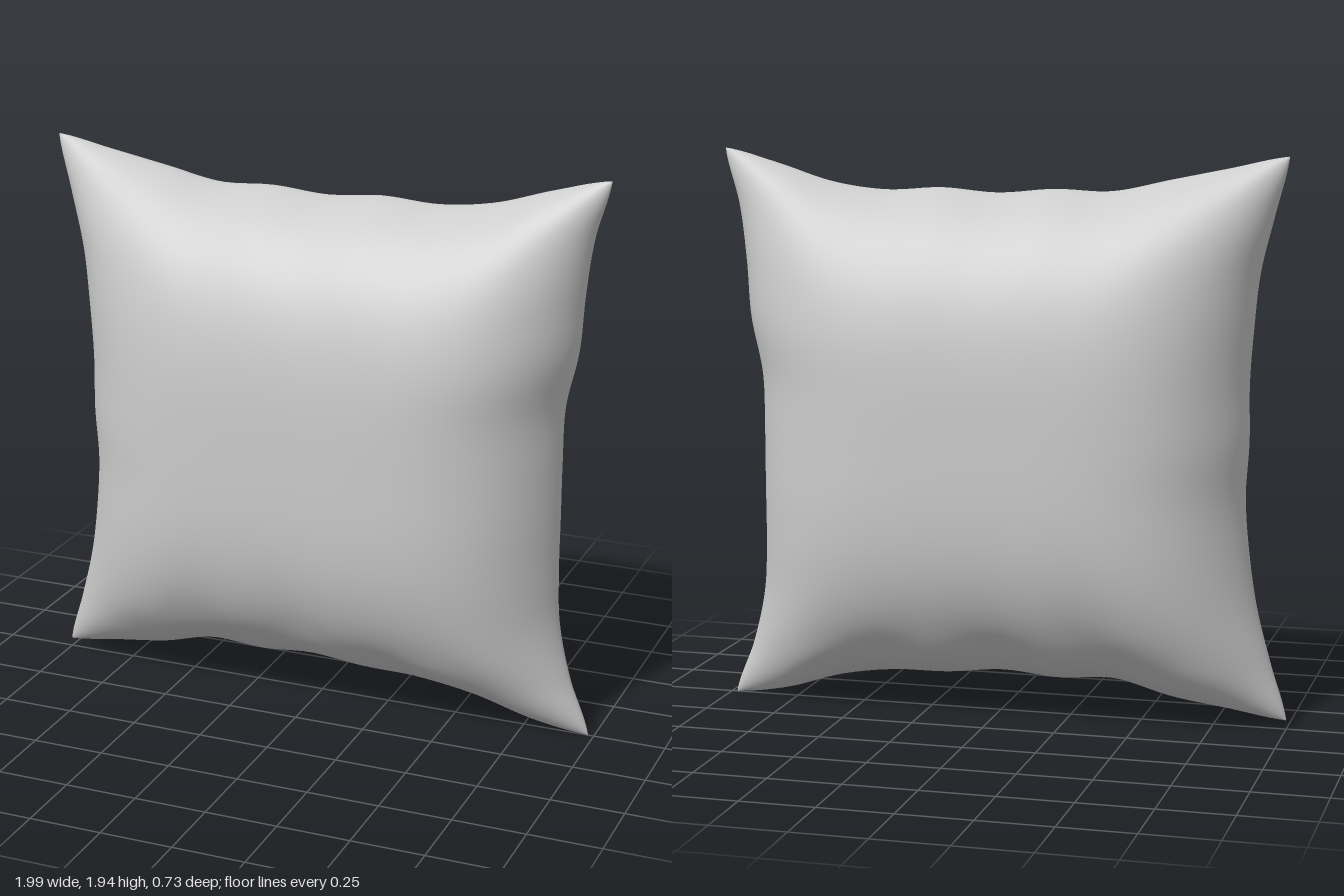
import * as THREE from 'three';
import { mergeGeometries, mergeVertices } from 'three/addons/utils/BufferGeometryUtils.js';

// Smooth curve through evenly spaced samples, read at s in -1..1
function edge(samples) {
  const curve = new THREE.SplineCurve(samples.map((y, i) => new THREE.Vector2(i, y)));
  return s => curve.getPoint(Math.min(1, Math.max(0, (s + 1) / 2))).y;
}

// Seam outline: x along the sides (bottom to top), y along bottom and top (x increasing)
const sideNeg = edge([-1, -0.945, -0.895, -0.865, -0.85, -0.86, -0.858, -0.87, -0.89, -0.935, -0.98]);
const sidePos = edge([0.98, 0.91, 0.865, 0.855, 0.855, 0.855, 0.86, 0.9, 0.915, 0.94, 0.99]);
const bottom = edge([0.03, 0.06, 0.09, 0.14, 0.13, 0.145, 0.125, 0.12, 0.09, 0.03, 0]);
const top = edge([1.93, 1.89, 1.85, 1.81, 1.815, 1.8, 1.815, 1.805, 1.83, 1.89, 1.94]);

const lerp = THREE.MathUtils.lerp;
const fall = (s, p, q) => Math.pow(Math.max(0, 1 - Math.pow(Math.abs(s), p)), q);

// One puffed half of the cushion; dir is +1 for the front, -1 for the back
function half(dir) {
  const g = new THREE.PlaneGeometry(2, 2, 80, 80);
  if (dir < 0) g.rotateY(Math.PI);
  g.deleteAttribute('uv');
  g.deleteAttribute('normal');
  const pos = g.attributes.position;
  for (let i = 0; i < pos.count; i++) {
    // denser rows toward the seam
    const u = Math.sin(pos.getX(i) * Math.PI / 2);
    const v = Math.sin(pos.getY(i) * Math.PI / 2);
    const puff = 0.345 * fall(u, 4, 0.8) * fall(v, 3.3, 0.78);
    const lip = 0.02 * fall(u, 30, 0.5) * fall(v, 30, 0.5);
    // gentle gathers beside the lower seam
    const gather = 0.008 * Math.sin(u * 13 + dir) * fall(u, 4, 1) * Math.exp(-Math.pow((v + 0.88) / 0.08, 2));
    // seam drifts slightly backward along the top
    const drift = -0.02 * fall(u, 2, 1) * Math.pow(Math.max(0, v), 8);
    pos.setXYZ(i,
      lerp(sideNeg(v), sidePos(v), (u + 1) / 2),
      lerp(bottom(u), top(u), (v + 1) / 2),
      dir * (puff + lip + gather) + drift);
  }
  return g;
}

export function createModel() {
  const group = new THREE.Group();
  group.name = 'cushion';
  const fabric = new THREE.MeshStandardMaterial({ color: 0xcccccc });
  fabric.name = 'grey fabric';

  // Weld the halves along the seam so shading stays soft
  const geometry = mergeVertices(mergeGeometries([half(1), half(-1)]), 1e-5);
  geometry.computeVertexNormals();
  const cover = new THREE.Mesh(geometry, fabric);
  cover.name = 'cushionCover';
  group.add(cover);
  return group;
}
